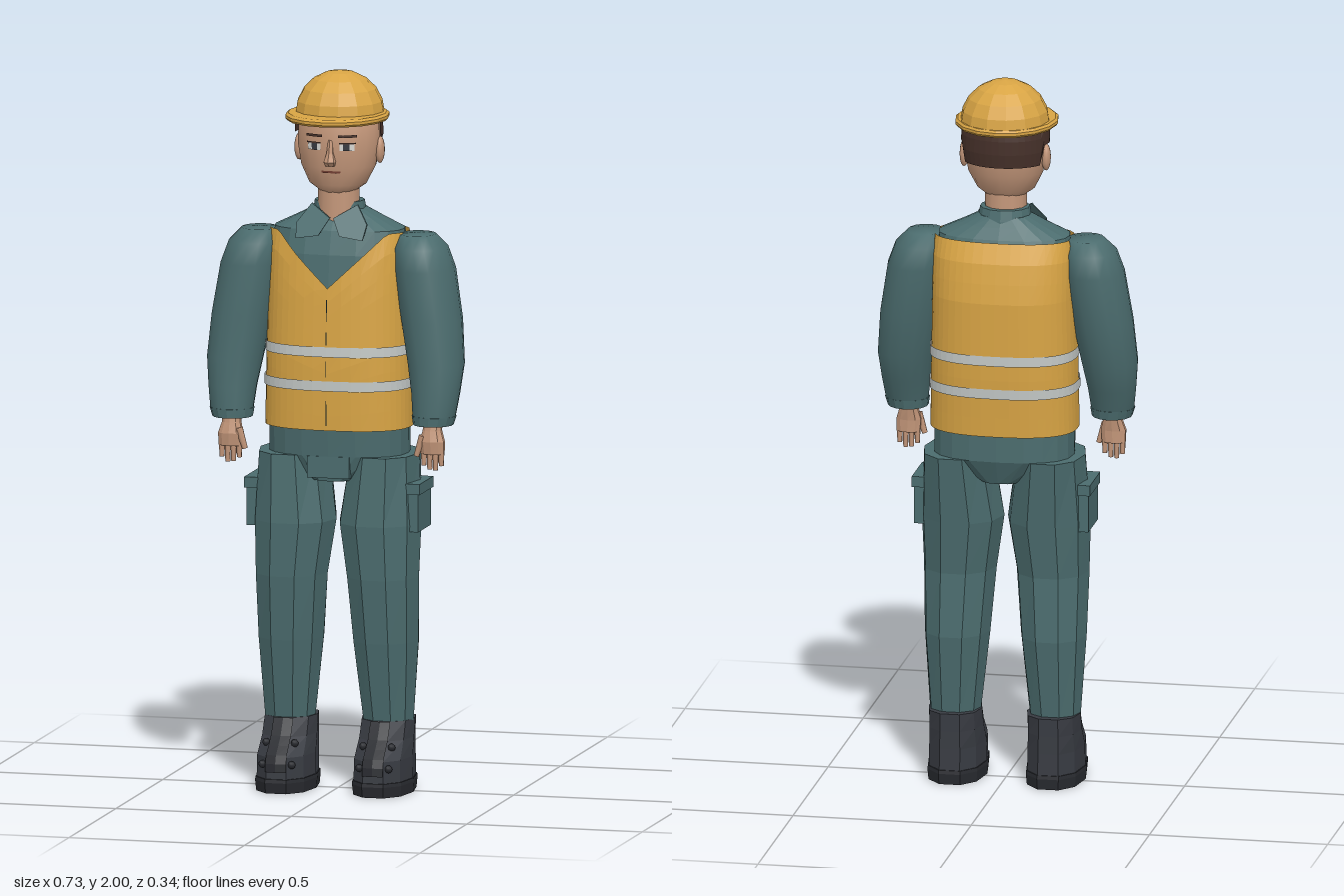
import * as THREE from 'three';
import { mergeVertices } from 'three/addons/utils/BufferGeometryUtils.js';

const mat = (name, color) => {
  const m = new THREE.MeshStandardMaterial({ color, side: THREE.DoubleSide });
  m.name = name;
  return m;
};

// Ring: [y, centreX, halfWidth, frontZ, backZ]
const BODY = [
  [0.87, 0, 0.07, 0.10, -0.12], [0.94, 0, 0.195, 0.108, -0.15], [1.02, 0, 0.195, 0.115, -0.15],
  [1.2, 0, 0.192, 0.118, -0.16], [1.4, 0, 0.188, 0.108, -0.16], [1.5, 0, 0.188, 0.095, -0.143],
  [1.565, 0, 0.183, 0.075, -0.115], [1.595, 0, 0.12, 0.05, -0.095], [1.62, 0, 0.07, 0.035, -0.08],
];
const HEAD = [
  [1.665, 0, 0.045, 0.05, -0.05], [1.69, 0, 0.08, 0.069, -0.07], [1.74, 0, 0.105, 0.081, -0.095],
  [1.8, 0, 0.115, 0.088, -0.105], [1.87, 0, 0.113, 0.085, -0.105], [1.92, 0, 0.085, 0.06, -0.085],
];
const ARM = [
  [1.04, 0.286, 0.052, 0.113, 0.0], [1.06, 0.288, 0.06, 0.114, -0.005], [1.12, 0.289, 0.067, 0.112, -0.03],
  [1.2, 0.286, 0.078, 0.108, -0.06], [1.32, 0.27, 0.084, 0.102, -0.085], [1.46, 0.247, 0.084, 0.097, -0.1],
  [1.52, 0.235, 0.074, 0.085, -0.09], [1.555, 0.225, 0.05, 0.05, -0.06],
];
const LEG = [
  [0.19, 0.14, 0.071, 0.06, -0.085], [0.42, 0.135, 0.092, 0.1, -0.115], [0.6, 0.13, 0.102, 0.12, -0.105],
  [0.75, 0.121, 0.116, 0.125, -0.125], [0.94, 0.13, 0.096, 0.11, -0.15],
];
const BOOT = [
  [0.035, 0.138, 0.08, 0.155, -0.115], [0.1, 0.138, 0.079, 0.15, -0.112],
  [0.15, 0.138, 0.076, 0.095, -0.11], [0.2, 0.138, 0.075, 0.065, -0.11],
];
const SOLE = [[0, 0.138, 0.081, 0.155, -0.116], [0.03, 0.138, 0.084, 0.161, -0.12], [0.04, 0.138, 0.083, 0.159, -0.118]];

// Angle 0 faces the front and grows toward +x; p above 2 gives a boxier section
function onRing([y, cx, rx, zf, zb], a, p = 2, off = 0) {
  const bend = (t) => Math.sign(t) * Math.pow(Math.abs(t), 2 / p);
  return [cx + (rx + off) * bend(Math.sin(a)), y, (zf + zb) / 2 + ((zf - zb) / 2 + off) * bend(Math.cos(a))];
}
function ringAt(rings, y) {
  let i = 0;
  while (i < rings.length - 2 && y > rings[i + 1][0]) i++;
  const t = (y - rings[i][0]) / (rings[i + 1][0] - rings[i][0]);
  return rings[i].map((v, k) => v + (rings[i + 1][k] - v) * t);
}
function grid(cols, rows, f, smooth) {
  const pos = [], idx = [];
  for (let j = 0; j <= rows; j++) for (let i = 0; i <= cols; i++) pos.push(...f(i, j));
  for (let j = 0; j < rows; j++) for (let i = 0; i < cols; i++) {
    const a = j * (cols + 1) + i, b = a + 1, c = a + cols + 1, d = c + 1;
    idx.push(a, b, d, a, d, c);
  }
  let g = new THREE.BufferGeometry();
  g.setAttribute('position', new THREE.Float32BufferAttribute(pos, 3));
  g.setIndex(idx);
  g = smooth ? mergeVertices(g) : g.toNonIndexed();
  g.computeVertexNormals();
  return g;
}
// Closed body through rings, capped at both ends
function loft(rings, n, { p = 2, smooth = false, phase = 0 } = {}) {
  const cap = ([y, cx, , zf, zb]) => [y, cx, 0, (zf + zb) / 2, (zf + zb) / 2];
  const all = [cap(rings[0]), ...rings, cap(rings[rings.length - 1])];
  return grid(n, all.length - 1, (i, j) => onRing(all[j], (i % n + phase) / n * Math.PI * 2, p), smooth);
}
// Thin skin following a lofted body between two angles
function patch(rings, a0, a1, low, high, off, cols, rows, p = 2, smooth = false) {
  return grid(cols, rows, (i, j) => {
    const a = a0 + (a1 - a0) * i / cols;
    const y = low(a) + (high(a) - low(a)) * j / rows;
    return onRing(ringAt(rings, y), a, p, off);
  }, smooth);
}
const flat = (g) => { const f = g.index ? g.toNonIndexed() : g; f.computeVertexNormals(); return f; };
const mirrorRings = (rings, s) => rings.map(([y, cx, ...r]) => [y, cx * s, ...r]);

export function createModel() {
  const model = new THREE.Group();
  model.name = 'worker';
  const teal = mat('workwear teal', 0x4b6c6e), amber = mat('safety amber', 0xd8a444);
  const silver = mat('reflective silver', 0xc3c8c6), skin = mat('skin', 0xc4977a), hairMat = mat('dark brown', 0x453029);
  const black = mat('boot black', 0x383b42), soleMat = mat('sole black', 0x292b30);
  const white = mat('eye white', 0xd8d8d4), lip = mat('lip', 0x7d4538);
  const add = (name, geo, material, x = 0, y = 0, z = 0) => {
    const m = new THREE.Mesh(geo, material);
    m.name = name;
    m.position.set(x, y, z);
    model.add(m);
    return m;
  };
  const TAU = Math.PI * 2, P = 2.5;

  // Shirt and vest
  add('shirt', loft(BODY, 20, { p: P }), teal);
  const vestTop = (a) => {
    const [x, , z] = onRing(BODY[4], a, P);
    const ax = Math.abs(x);
    if (z > 0 && ax < 0.15) return 1.41 + ax;
    return ax < 0.184 ? 1.56 : 1.5;
  };
  add('vest', patch(BODY, 0, TAU, () => 1.015, vestTop, 0.01, 48, 10, P), amber);
  for (const y of [1.14, 1.235])
    add('reflectiveBand', patch(BODY, 0, TAU, () => y - 0.014, () => y + 0.014, 0.014, 48, 1, P), silver);
  for (const [y0, y1] of [[1.03, 1.1], [1.165, 1.21], [1.255, 1.29], [1.32, 1.38]])
    add('vestOpening', patch(BODY, -0.0015, 0.0015, () => y0, () => y1, 0.016, 2, 2, P), teal);

  // Collar and neck
  add('neck', new THREE.CylinderGeometry(0.058, 0.06, 0.12, 12), skin, 0, 1.64, -0.005);
  add('collar', loft([[1.58, 0, 0.085, 0.055, -0.092], [1.61, 0, 0.074, 0.05, -0.088], [1.64, 0, 0.069, 0.046, -0.08]], 14), teal);
  for (const s of [1, -1]) {
    const wing = new THREE.Shape([[0.005, 1.6], [0.03, 1.555], [0.095, 1.545], [0.1, 1.585], [0.065, 1.635]]
      .map(([x, y]) => new THREE.Vector2(x * s, y)));
    const g = new THREE.ExtrudeGeometry(wing, { depth: 0.008, bevelEnabled: false });
    const q = g.attributes.position;
    for (let i = 0; i < q.count; i++)
      q.setZ(i, q.getZ(i) + 0.04 + (1.635 - q.getY(i)) * 0.75 - Math.abs(q.getX(i)) * 0.15);
    add('collarWing', flat(g), teal);
  }

  // Head, hair and face
  add('head', loft(HEAD, 20, { smooth: true }), skin);
  const hairLow = (a) => (Math.abs(a - Math.PI) < 1.2 ? 1.77 : 1.825);
  add('hair', patch(HEAD, Math.PI * 0.46, Math.PI * 1.54, hairLow, () => 1.885, 0.009, 22, 3), hairMat);
  const face = (name, x0, x1, y0, y1, off, m) => add(name,
    patch(HEAD, Math.asin(x0 / 0.115), Math.asin(x1 / 0.115), () => y0, () => y1, off, 4, 1), m);
  for (const s of [1, -1]) {
    const span = (c, w) => [s * c - w, s * c + w];
    face('eyeWhite', ...span(0.046, 0.019), 1.791, 1.81, 0.003, white);
    face('iris', ...span(0.044, 0.008), 1.791, 1.81, 0.005, black);
    face('eyelid', ...span(0.046, 0.021), 1.81, 1.814, 0.005, hairMat);
    face('eyebrow', ...span(0.046, 0.024), 1.828, 1.835, 0.004, hairMat);
    add('ear', new THREE.SphereGeometry(1, 10, 8), skin, s * 0.115, 1.783, -0.015).scale.set(0.013, 0.038, 0.022);
  }
  face('mouth', -0.03, 0.03, 1.727, 1.733, 0.003, lip);
  add('nose', loft([[1.748, 0, 0.014, 0.1, 0.07], [1.76, 0, 0.017, 0.113, 0.07], [1.785, 0, 0.01, 0.1, 0.07],
    [1.82, 0, 0.007, 0.09, 0.07]], 6), skin);

  // Hard hat
  add('helmetDome', flat(new THREE.SphereGeometry(1, 14, 5, 0, TAU, 0, Math.PI / 2)), amber, 0, 1.878, -0.0185)
    .scale.set(0.125, 0.122, 0.127);
  add('helmetBrim', loft([[1.868, 0, 0.138, 0.164, -0.147], [1.874, 0, 0.143, 0.17, -0.152],
    [1.882, 0, 0.143, 0.17, -0.152], [1.888, 0, 0.136, 0.16, -0.147]], 16), amber);

  for (const s of [1, -1]) {
    // Arm and hand
    add('sleeve', loft(mirrorRings(ARM, s), 16, { smooth: true, p: 2.1 }), teal);
    add('cuff', loft(mirrorRings([[1.035, 0.286, 0.056, 0.115, -0.002], [1.06, 0.288, 0.062, 0.116, -0.007]], s), 14), teal);
    add('palm', loft(mirrorRings([[0.955, 0.288, 0.034, 0.09, 0.05], [0.99, 0.287, 0.036, 0.096, 0.048],
      [1.02, 0.286, 0.027, 0.09, 0.042], [1.05, 0.286, 0.027, 0.085, 0.035]], s), 10), skin);
    for (let i = 0; i < 4; i++) {
      const len = [0.045, 0.056, 0.058, 0.045][i];
      add('finger', new THREE.CylinderGeometry(0.009, 0.007, len, 6), skin, s * (0.263 + i * 0.0165), 0.967 - len / 2, 0.07);
    }
    add('thumb', new THREE.CylinderGeometry(0.011, 0.008, 0.06, 6), skin, s * 0.253, 0.977, 0.08).rotation.z = -s * 0.3;

    // Trouser leg and side pocket
    add('trouserLeg', loft(mirrorRings(LEG, s), 10, { p: 2.2, phase: 0.5 }), teal);
    add('pocket', new THREE.BoxGeometry(0.035, 0.13, 0.135), teal, s * 0.227, 0.797, -0.005);
    add('pocketFlap', new THREE.BoxGeometry(0.042, 0.03, 0.147), teal, s * 0.229, 0.852, -0.005);

    // Boot
    add('boot', loft(mirrorRings(BOOT, s), 10, { p: 2.3, phase: 0.5 }), black);
    add('sole', loft(mirrorRings(SOLE, s), 10, { p: 2.3, phase: 0.5 }), soleMat);
    add('tongue', patch(mirrorRings(BOOT, s), -0.3, 0.3, () => 0.06, () => 0.2, 0.006, 2, 6, 2.3), soleMat);
    for (const y of [0.08, 0.135]) for (const side of [1, -1]) {
      const [x, , z] = onRing(ringAt(mirrorRings(BOOT, s), y), side * 0.5, 2.3);
      add('eyelet', new THREE.SphereGeometry(0.011, 8, 6), soleMat, x, y, z);
    }
  }
  // Trouser front
  add('fly', new THREE.BoxGeometry(0.12, 0.06, 0.02), teal, 0, 0.91, 0.098);
  return model;
}
